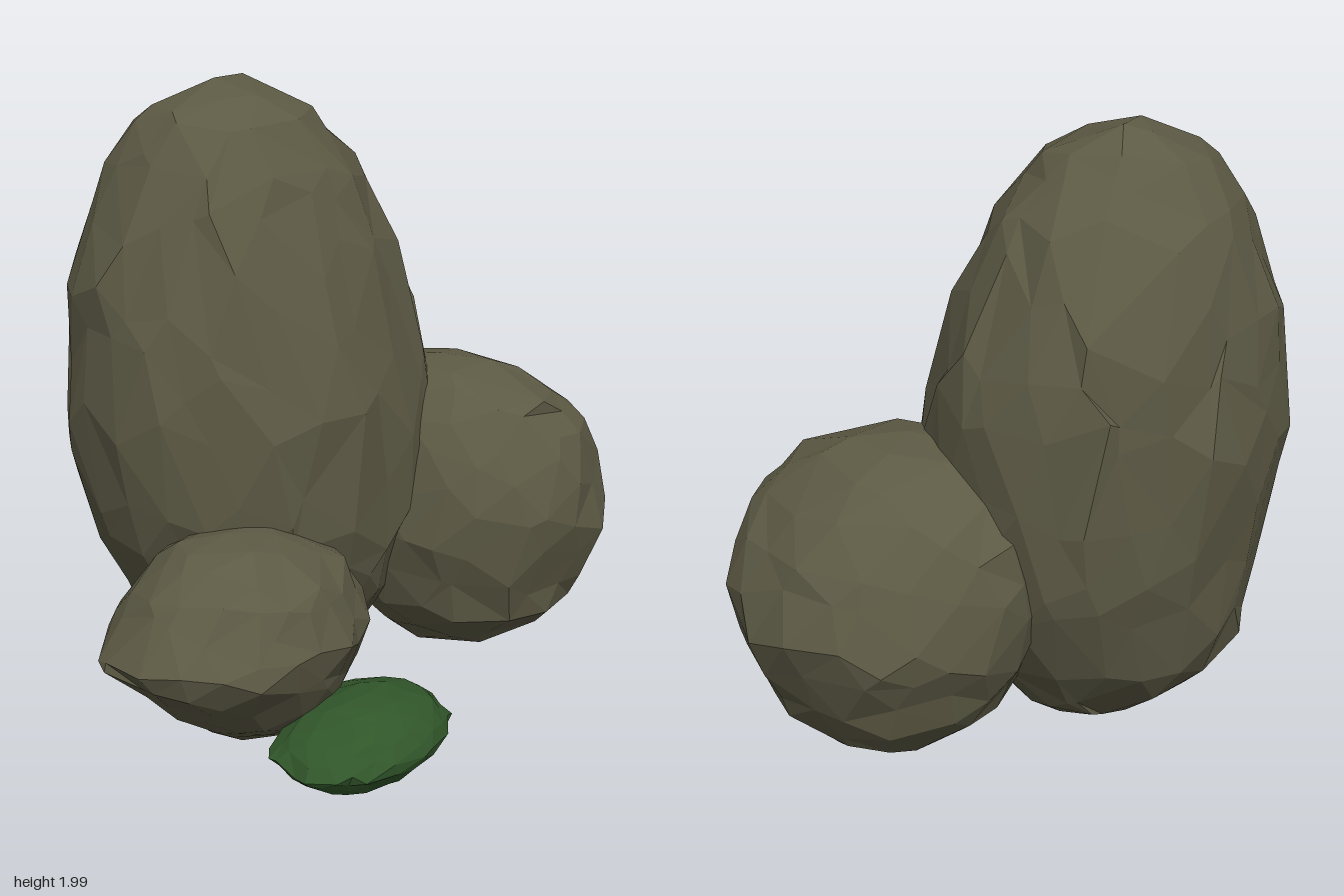
import * as THREE from 'three';

// Repeatable value in -1..1 from a direction, so shared corners move together
function jitter(v, seed) {
  const k = Math.round(v.x * 500) * 12.9898 + Math.round(v.y * 500) * 78.233 + Math.round(v.z * 500) * 37.719;
  const s = Math.sin(k + seed * 4.137) * 43758.5453;
  return (s - Math.floor(s)) * 2 - 1;
}

// Faceted stone: an icosphere fitted to levels of [y, xMin, xMax, zMin, zMax]
function stone(name, material, levels, detail, seed, rough) {
  const geometry = new THREE.IcosahedronGeometry(1, detail);
  const p = geometry.attributes.position;
  const v = new THREE.Vector3();
  const low = levels[0][0], high = levels[levels.length - 1][0];
  for (let i = 0; i < p.count; i++) {
    v.fromBufferAttribute(p, i);
    const j = [0, 1, 2, 3].map((n) => jitter(v, seed + n));
    const pole = Math.abs(v.y) > 0.999;
    // uneven facets
    if (!pole) v.set(v.x + j[0] * rough * 2, v.y + j[1] * rough * 2, v.z + j[2] * rough * 2).normalize();
    const y = low + (high - low) * (v.y + 1) / 2;
    let k = 0;
    while (k < levels.length - 2 && y > levels[k + 1][0]) k++;
    const a = levels[k], b = levels[k + 1];
    const t = (y - a[0]) / (b[0] - a[0]);
    const [x0, x1, z0, z1] = [1, 2, 3, 4].map((n) => a[n] + (b[n] - a[n]) * t);
    const length = pole ? 1 : Math.hypot(v.x, v.z);
    const r = (1 + j[3] * rough * 0.7) / length;
    p.setXYZ(i, (x0 + x1) / 2 + v.x * r * (x1 - x0) / 2, y, (z0 + z1) / 2 + v.z * r * (z1 - z0) / 2);
  }
  geometry.computeVertexNormals();
  const mesh = new THREE.Mesh(geometry, material);
  mesh.name = name;
  return mesh;
}

export function createModel() {
  const rock = new THREE.MeshStandardMaterial({ color: 0x5c5944 });
  const moss = new THREE.MeshStandardMaterial({ color: 0x31562a });
  rock.flatShading = moss.flatShading = true;

  const group = new THREE.Group();
  group.name = 'rockCluster';
  group.add(
    // tall leaning boulder
    stone('tallBoulder', rock, [
      [0, -0.15, 0.02, -0.22, -0.1],
      [0.18, -0.38, 0.26, -0.53, 0.1],
      [0.4, -0.52, 0.4, -0.68, 0.25],
      [0.7, -0.64, 0.5, -0.72, 0.34],
      [1.05, -0.69, 0.54, -0.78, 0.34],
      [1.45, -0.64, 0.48, -0.72, 0.23],
      [1.72, -0.53, 0.34, -0.63, 0.12],
      [1.9, -0.41, 0.16, -0.5, 0],
      [2, -0.14, 0.02, -0.34, -0.18],
    ], 4, 3, 0.045),
    // rounded boulder on the model's left
    stone('leftBoulder', rock, [
      [0.12, 0.3, 0.72, -0.02, 0.4],
      [0.3, 0.13, 0.89, -0.22, 0.6],
      [0.62, 0.04, 1.0, -0.34, 0.7],
      [0.88, 0.12, 0.88, -0.28, 0.63],
      [1.03, 0.22, 0.7, -0.14, 0.5],
      [1.1, 0.34, 0.52, 0.02, 0.3],
    ], 3, 11, 0.05),
    // small boulder on the model's right
    stone('rightBoulder', rock, [
      [0.1, -0.55, -0.35, 0.1, 0.26],
      [0.22, -0.74, -0.2, -0.06, 0.42],
      [0.47, -1.0, -0.12, -0.14, 0.56],
      [0.66, -0.86, -0.22, -0.06, 0.47],
      [0.76, -0.68, -0.42, 0.06, 0.28],
    ], 3, 23, 0.05),
    // flat mossy pebble
    stone('mossyPebble', moss, [
      [0.05, -0.46, -0.34, 0.48, 0.6],
      [0.1, -0.61, -0.18, 0.4, 0.7],
      [0.19, -0.71, -0.08, 0.33, 0.77],
      [0.27, -0.6, -0.16, 0.38, 0.72],
      [0.32, -0.46, -0.3, 0.5, 0.62],
    ], 3, 31, 0.045),
  );
  return group;
}
